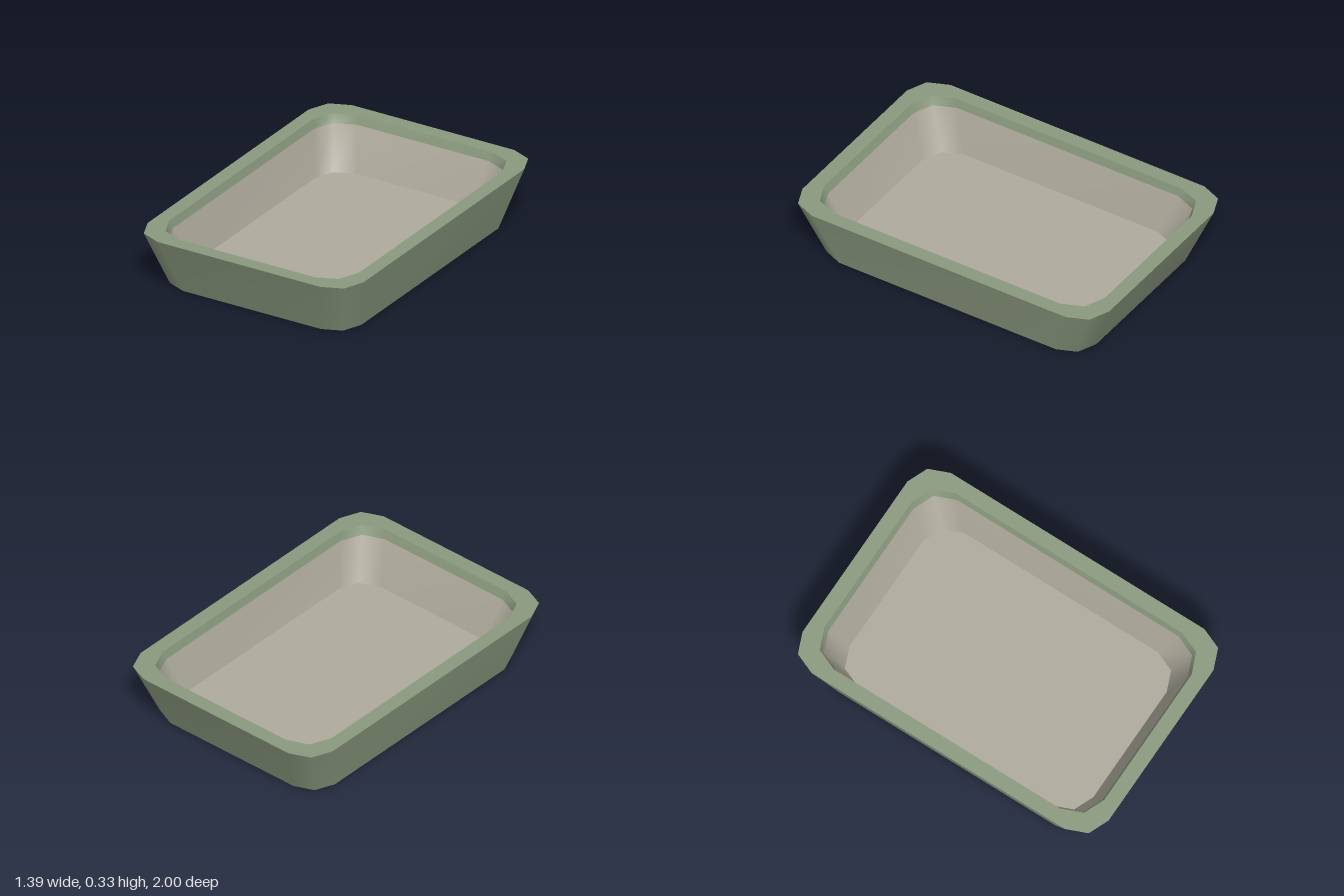
import * as THREE from 'three';

// Rounded-rectangle cross-section: three points per corner, running from +x towards +z
function ring(hx, hz, r, y) {
  const points = [];
  const corners = [[1, 1], [-1, 1], [-1, -1], [1, -1]];
  corners.forEach(([sx, sz], c) => {
    for (let k = 0; k < 3; k++) {
      const a = (c + k / 2) * Math.PI / 2;
      points.push([sx * (hx - r) + r * Math.cos(a), y, sz * (hz - r) + r * Math.sin(a)]);
    }
  });
  return points;
}

// Skin between two rings, smooth around the corners
function loft(name, from, to, material) {
  const n = from.length;
  const index = [];
  for (let i = 0; i < n; i++) {
    const j = (i + 1) % n;
    index.push(i, n + i, j, n + i, n + j, j);
  }
  const geometry = new THREE.BufferGeometry();
  geometry.setAttribute('position', new THREE.Float32BufferAttribute([...from, ...to].flat(), 3));
  geometry.setIndex(index);
  geometry.computeVertexNormals();
  const mesh = new THREE.Mesh(geometry, material);
  mesh.name = name;
  return mesh;
}

export function createModel() {
  const glaze = new THREE.MeshStandardMaterial({ color: 0x8a997e });
  glaze.name = 'sage green glaze';
  const clay = new THREE.MeshStandardMaterial({ color: 0xaeaa9c });
  clay.name = 'warm grey interior';

  // Profile of the dish, from the underside over the rim to the inner floor
  const bottomCentre = ring(0, 0, 0, 0);
  const base = ring(0.605, 0.866, 0.16, 0);
  const rimOuter = ring(0.695, 1, 0.172, 0.333);
  const rimInner = ring(0.61, 0.914, 0.175, 0.333);
  const glazeLine = ring(0.597, 0.895, 0.172, 0.283);
  const floorEdge = ring(0.532, 0.797, 0.166, 0.04);
  const floorCentre = ring(0, 0, 0, 0.04);

  const dish = new THREE.Group();
  dish.name = 'dish';
  dish.add(
    loft('underside', bottomCentre, base, glaze),
    loft('outerWall', base, rimOuter, glaze),
    loft('rim', rimOuter, rimInner, glaze),
    loft('innerLip', rimInner, glazeLine, glaze),
    loft('innerWall', glazeLine, floorEdge, clay),
    loft('floor', floorEdge, floorCentre, clay),
  );
  return dish;
}
